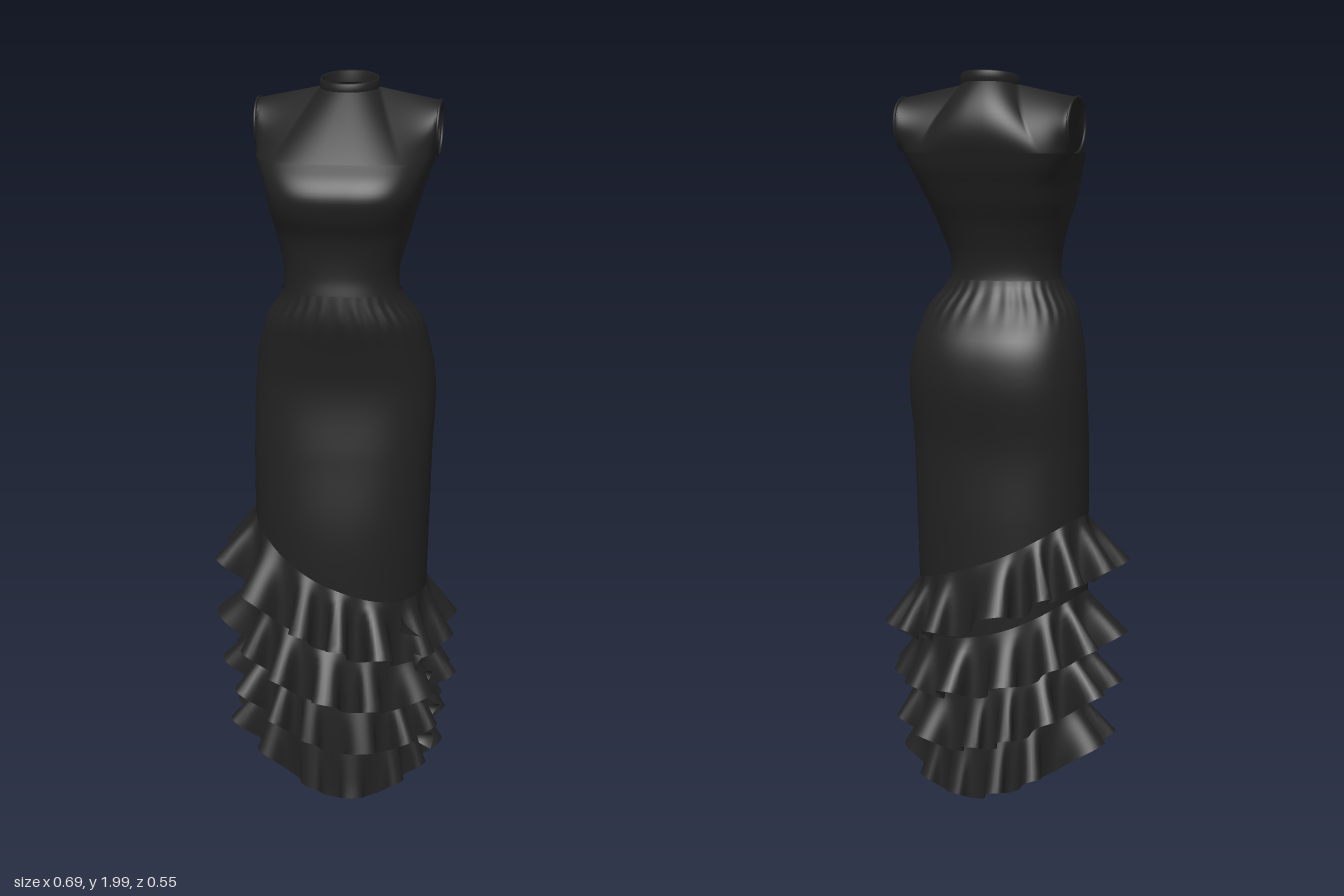
import * as THREE from 'three';
import { mergeVertices, mergeGeometries } from 'three/addons/utils/BufferGeometryUtils.js';

const cloth = new THREE.MeshStandardMaterial({ color: 0x212121, side: THREE.DoubleSide });
cloth.name = 'black cloth';

const { sin, cos, abs, sign, max, PI } = Math;
const lerp = THREE.MathUtils.lerp;

// body sections: y, x min, x max, back z, front z, side seam z, squareness
const sections = [
  [0.10, -0.15, 0.20, -0.15, 0.15, 0, 2.1],
  [0.30, -0.20, 0.235, -0.165, 0.175, 0, 2.1],
  [0.60, -0.22, 0.25, -0.17, 0.18, 0, 2.15],
  [0.80, -0.22, 0.255, -0.17, 0.178, 0, 2.2],
  [1.00, -0.22, 0.26, -0.166, 0.155, 0, 2.3],
  [1.20, -0.214, 0.264, -0.186, 0.135, -0.01, 2.4],
  [1.30, -0.20, 0.248, -0.168, 0.15, 0, 2.4],
  [1.38, -0.175, 0.225, -0.113, 0.165, 0.02, 2.3],
  [1.44, -0.135, 0.182, -0.075, 0.162, 0.04, 2.2],
  [1.50, -0.13, 0.173, -0.07, 0.154, 0.04, 2.3],
  [1.60, -0.15, 0.198, -0.10, 0.165, 0.02, 2.7],
  [1.66, -0.166, 0.213, -0.13, 0.193, 0, 3.1],
  [1.71, -0.176, 0.228, -0.152, 0.202, -0.02, 3.4],
  [1.75, -0.193, 0.24, -0.17, 0.185, -0.055, 3.4],
  [1.79, -0.216, 0.253, -0.183, 0.15, -0.085, 3.1],
];
const profile = new THREE.CubicInterpolant(
  sections.map((s) => s[0]), sections.flatMap((s) => s.slice(1)), 6);

const pow = (v, e) => sign(v) * Math.pow(abs(v), e);

// point on the body at angle a (0 = front, PI/2 = the left side)
function bodyPoint(a, y, grow = 0) {
  const [x0, x1, zb, zf, zs, n] = profile.evaluate(y);
  const c = cos(a), e = 2 / n;
  return new THREE.Vector3(
    (x0 + x1) / 2 + ((x1 - x0) / 2 + grow) * pow(sin(a), e), y,
    zs + ((c > 0 ? zf - zs : zs - zb) + grow) * pow(c, e));
}

// grid surface: fn(u, v) with u across and v up, seen from outside
function surface(fn, nu, nv) {
  const pos = [], idx = [];
  for (let j = 0; j <= nv; j++) {
    for (let i = 0; i <= nu; i++) {
      pos.push(...fn(i / nu, j / nv).toArray());
      if (i < nu && j < nv) {
        const a = j * (nu + 1) + i, d = a + nu + 1;
        idx.push(a, a + 1, d + 1, a, d + 1, d);
      }
    }
  }
  const g = new THREE.BufferGeometry();
  g.setAttribute('position', new THREE.Float32BufferAttribute(pos, 3));
  g.setIndex(idx);
  return g;
}

function smooth(...parts) {
  const g = mergeVertices(mergeGeometries(parts), 1e-4);
  g.computeVertexNormals();
  return g;
}

// neckline and shoulder seams of one panel, u from -1 to 1, dir 1 = front
const neck = { x: 0.024, z: -0.071, rx: 0.074, rz: 0.064 };
function shoulderPoint(u, dir) {
  const a = 0.4, s = sign(u);
  if (abs(u) <= a) {
    const t = (u / a) * PI / 2;
    return new THREE.Vector3(neck.x + neck.rx * sin(t),
      1.965 - dir * 0.008 * cos(t), neck.z + dir * neck.rz * cos(t));
  }
  const k = (abs(u) - a) / (1 - a);
  return new THREE.Vector3(neck.x + s * lerp(neck.rx, 0.243, k),
    lerp(1.965, 1.93, k), lerp(neck.z, -0.085, k));
}

// front or back bodice panel; the edges curve apart around the armholes
function bodicePanel(dir) {
  const split = 0.6;
  return surface((i, v) => {
    const u = (i * 2 - 1) * dir;
    const a = dir > 0 ? u * PI / 2 : PI - u * PI / 2;
    if (v <= split) return bodyPoint(a, lerp(1.43, 1.79, v / split));
    const phi = ((v - split) / (1 - split)) * PI;
    const p = bodyPoint(a, 1.79).lerp(shoulderPoint(u, dir), (1 - cos(phi)) / 2);
    const bulge = Math.pow(abs(sin(phi)), 2 - Math.pow(abs(u), 6));
    p.z += dir * bulge * lerp(dir > 0 ? 0.004 : 0.03, 0.07, Math.pow(abs(u), 3));
    return p;
  }, 60, 60);
}

// skirt with fine gathers under the waist
function skirt() {
  return surface((u, v) => {
    const y = lerp(0.15, 1.455, v), a = u * 2 * PI;
    const gather = Math.exp(-Math.pow((y - 1.4) / 0.04, 2));
    return bodyPoint(a, y, 0.004 + 0.0018 * gather * sin(30 * a));
  }, 240, 70);
}

// flounces: top height at front, left, back and right, lobe count, flare, length
const tiers = [
  { f: 0.65, l: 0.61, b: 0.70, r: 0.82, lobes: 14, flare: 0.085, length: 0.195 },
  { f: 0.47, l: 0.47, b: 0.50, r: 0.605, lobes: 13, flare: 0.085, length: 0.183 },
  { f: 0.325, l: 0.345, b: 0.34, r: 0.46, lobes: 14, flare: 0.09, length: 0.178 },
  { f: 0.18, l: 0.235, b: 0.205, r: 0.30, lobes: 12, flare: 0.08, length: 0.187 },
];
function ruffle({ f, l, b, r, lobes, flare, length }, k) {
  return surface((u, v) => {
    const s = 1 - v, a = u * 2 * PI, c = cos(a);
    const top = (f + l + b + r) / 4 + (l - r) / 2 * sin(a) + (f - b) / 2 * c
      + (f + b - l - r) / 4 * cos(2 * a);
    const phase = lobes * a + 1.7 * k + 0.9 * sin(3 * a + k) + 0.6 * sin(5 * a - 2 * k);
    const size = (0.85 + 0.15 * sin(4 * a + 2.3 * k)) * (1 - 0.14 * k * c * c - 0.08 * k * max(0, c))
      + (0.2 + 0.1 * k) * Math.pow(max(0, -sin(a)), 3);
    const out = 0.018 + flare * size * (0.5 + 0.5 * sin(phase));
    const turn = a - s * 0.035 * sin(2 * phase);
    const p = bodyPoint(turn, max(0.1, top - 0.5 * s * length), 0.004);
    p.x += out * s * sin(turn);
    p.z += out * s * cos(turn);
    p.y = top - s * (length - 0.62 * out);
    return p;
  }, 288, 8);
}

// frill that falls down the left side, drifting backwards
function cascade() {
  return surface((u, v) => {
    const y = lerp(0.14, 0.58, v);
    const a = 1.4 - 0.55 * v + u * 0.17 * sin(v * 24);
    const p = bodyPoint(a, y, 0.005 + u * (0.06 + 0.012 * cos(v * 17)));
    p.y -= u * 0.03;
    return p;
  }, 8, 140);
}

// standing collar, higher at the back, with a folded rim
function collar() {
  const rim = [[0, 0], [0.005, 0.012], [0.004, 0.028], [0, 0.031], [-0.003, 0.027], [-0.003, 0]];
  return surface((u, v) => {
    const a = u * 2 * PI, [r, h] = rim[Math.round(v * 5)];
    return new THREE.Vector3(neck.x + (neck.rx + r) * sin(a),
      1.957 + h - 0.012 * cos(a), neck.z + (neck.rz + r) * cos(a));
  }, 48, 5);
}

export function createModel() {
  const model = new THREE.Group();
  const add = (name, geometry) => {
    const mesh = new THREE.Mesh(geometry, cloth);
    mesh.name = name;
    model.add(mesh);
    return mesh;
  };

  add('bodice', smooth(bodicePanel(1), bodicePanel(-1)));
  add('collar', smooth(collar()));
  add('skirt', smooth(skirt()));
  tiers.forEach((tier, k) => add('ruffle' + (k + 1), smooth(ruffle(tier, k))));
  add('cascadeFrill', smooth(cascade()));

  // armhole piping
  for (const [name, x, lean] of [['rightArmhole', -0.219, 1], ['leftArmhole', 0.260, -1]]) {
    const piping = add(name, new THREE.TorusGeometry(0.071, 0.004, 8, 40));
    piping.position.set(x, 1.86, -0.085);
    piping.rotation.set(0, PI / 2, lean * 0.03, 'ZYX');
  }
  return model;
}
